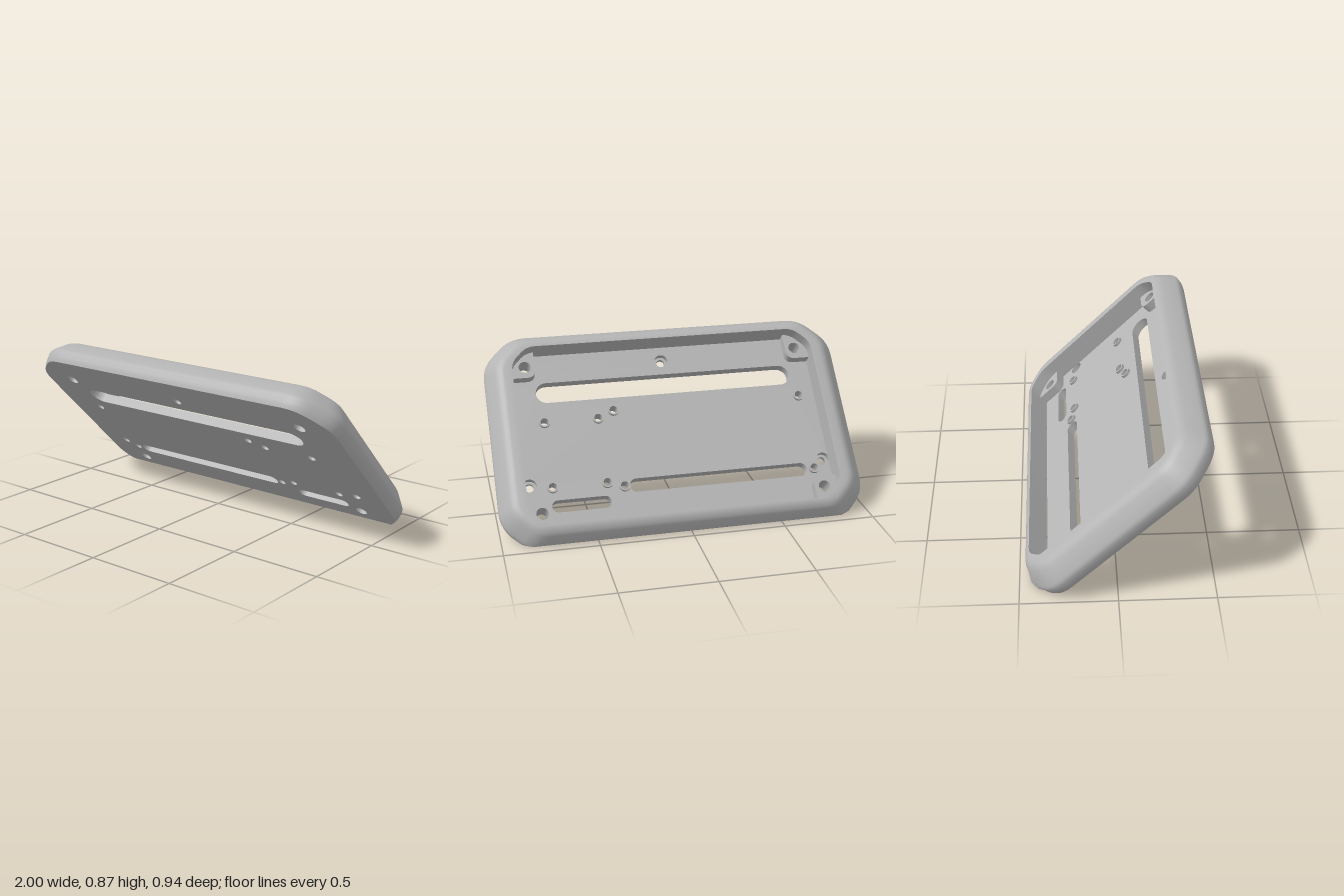
import * as THREE from 'three';
import { toCreasedNormals } from 'three/addons/utils/BufferGeometryUtils.js';

const MID = 0.51; // centre of the tray along its slope
const FLOOR = 0.052, SINK = 0.02;

// Rectangle with softened 45 degree corners, counter-clockwise, always the same point count
function outline(hx, hy, c) {
  const s = [[hx, c - hy], [hx, hy - c], [hx - c, hy], [c - hx, hy],
    [-hx, hy - c], [-hx, c - hy], [c - hx, -hy], [hx - c, -hy]].map(p => new THREE.Vector2(...p));
  const pts = [];
  s.forEach((p, i) => {
    const toward = q => p.clone().add(q.clone().sub(p).setLength(c * 0.5));
    const curve = new THREE.QuadraticBezierCurve(toward(s[(i + 7) % 8]), p, toward(s[(i + 1) % 8]));
    pts.push(...curve.getPoints(5));
  });
  return pts.map(p => p.setY(p.y + MID));
}

// Outer wall section at height h, moved out by o and sliced by the ground plane
function section(h, o) {
  return outline(0.982 + o, 0.607 + o, 0.15 + 0.586 * o)
    .map(p => new THREE.Vector3(p.x, Math.max(p.y, -h), h));
}

function loft(loops) {
  const n = loops[0].length, index = [];
  for (let i = 0; i < loops.length - 1; i++) {
    for (let j = 0; j < n; j++) {
      const a = i * n + j, b = i * n + (j + 1) % n;
      index.push(a, b, b + n, a, b + n, a + n);
    }
  }
  const g = new THREE.BufferGeometry().setFromPoints(loops.flat());
  g.setIndex(index);
  return toCreasedNormals(g, 0.6);
}

function circle(x, y, r) {
  return new THREE.Path().absarc(x, y, r, 0, Math.PI * 2);
}

function slot(x0, x1, y, r) {
  const p = new THREE.Path();
  p.absarc(x1 - r, y, r, -Math.PI / 2, Math.PI / 2);
  p.absarc(x0 + r, y, r, Math.PI / 2, Math.PI * 1.5);
  return p.closePath();
}

function extrude(shape, holes, z0, z1) {
  shape.holes.push(...holes);
  const g = new THREE.ExtrudeGeometry(shape, { depth: z1 - z0, bevelEnabled: false, curveSegments: 14 });
  return toCreasedNormals(g.translate(0, 0, z0), 0.6);
}

export function createModel() {
  const grey = new THREE.MeshStandardMaterial({ color: 0xb4b4b4 });
  grey.name = 'light grey';
  const tray = new THREE.Group();
  tray.name = 'tiltedTray';
  const add = (name, geometry) => {
    const m = new THREE.Mesh(geometry, grey);
    m.name = name;
    tray.add(m);
  };

  // Wall: bulged outside, rounded rim, straight inside
  const profile = [[0, 0], [0.015, 0.008], [0.03, 0.013], [0.06, 0.018], [0.072, 0.016], [0.085, 0.01],
    [0.15, -0.038], [0.161, -0.049], [0.17, -0.061], [0.176, -0.074], [0.179, -0.088]];
  const inner = h => outline(0.85, 0.515, 0.09).map(p => new THREE.Vector3(p.x, p.y, h));
  add('wall', loft([...profile.map(p => section(...p)), inner(0.179), inner(FLOOR)]));

  // Floor in two layers, the upper one widening the recessed screw holes
  const standoffs = [];
  for (const y of [0.212, 0.658]) standoffs.push([0.755, y], [-0.315, y]);
  for (const y of [0.24, 0.618]) standoffs.push([-0.405, y], [-0.7, y]);
  const corners = [];
  for (const sx of [-1, 1]) for (const sy of [-1, 1]) corners.push([sx, sy]);
  const bossHole = ([sx, sy]) => circle(sx * 0.775, MID + sy * 0.427, 0.033);
  const layer = (name, z0, z1, recess) => {
    const base = new THREE.Shape(section(0, 0).map(p => new THREE.Vector2(p.x, p.y)));
    add(name, extrude(base, [
      slot(-0.727, 0.727, 0.797, 0.06),
      slot(-0.285, 0.715, 0.212, 0.038),
      slot(-0.715, -0.395, 0.134, 0.034),
      ...standoffs.map(([x, y]) => circle(x, y, 0.022)),
      ...corners.map(bossHole),
      ...[[0, 0.94], [0.82, 0.262], [-0.82, 0.262]].map(([x, y]) => circle(x, y, recess)),
    ], z0, z1));
  };
  layer('floorUnderside', 0, SINK, 0.023);
  layer('floorTop', SINK, FLOOR, 0.038);

  // Low ring standoffs on the floor
  for (const [x, y] of standoffs) {
    const ring = new THREE.Shape().absarc(x, y, 0.03, 0, Math.PI * 2);
    add('standoff', extrude(ring, [circle(x, y, 0.022)], FLOOR, FLOOR + 0.016));
  }

  // Drilled corner blocks with one rounded inner corner
  for (const c of corners) {
    const [sx, sy] = c, X = x => sx * x, Y = y => MID + sy * y;
    const block = new THREE.Shape();
    block.moveTo(X(0.86), Y(0.522));
    block.lineTo(X(0.72), Y(0.522));
    block.lineTo(X(0.72), Y(0.412));
    block.quadraticCurveTo(X(0.72), Y(0.362), X(0.77), Y(0.362));
    block.lineTo(X(0.86), Y(0.362));
    block.closePath();
    add('cornerBlock', extrude(block, [bossHole(c)], FLOOR, 0.106));
  }

  // Lean the tray at 45 degrees with its open side up and back
  const a = Math.SQRT1_2;
  const lean = new THREE.Matrix4().makeBasis(
    new THREE.Vector3(-1, 0, 0), new THREE.Vector3(0, a, a), new THREE.Vector3(0, a, -a));
  tray.quaternion.setFromRotationMatrix(lean);
  tray.position.z = -0.32;

  const model = new THREE.Group();
  model.name = 'model';
  model.add(tray);
  return model;
}
